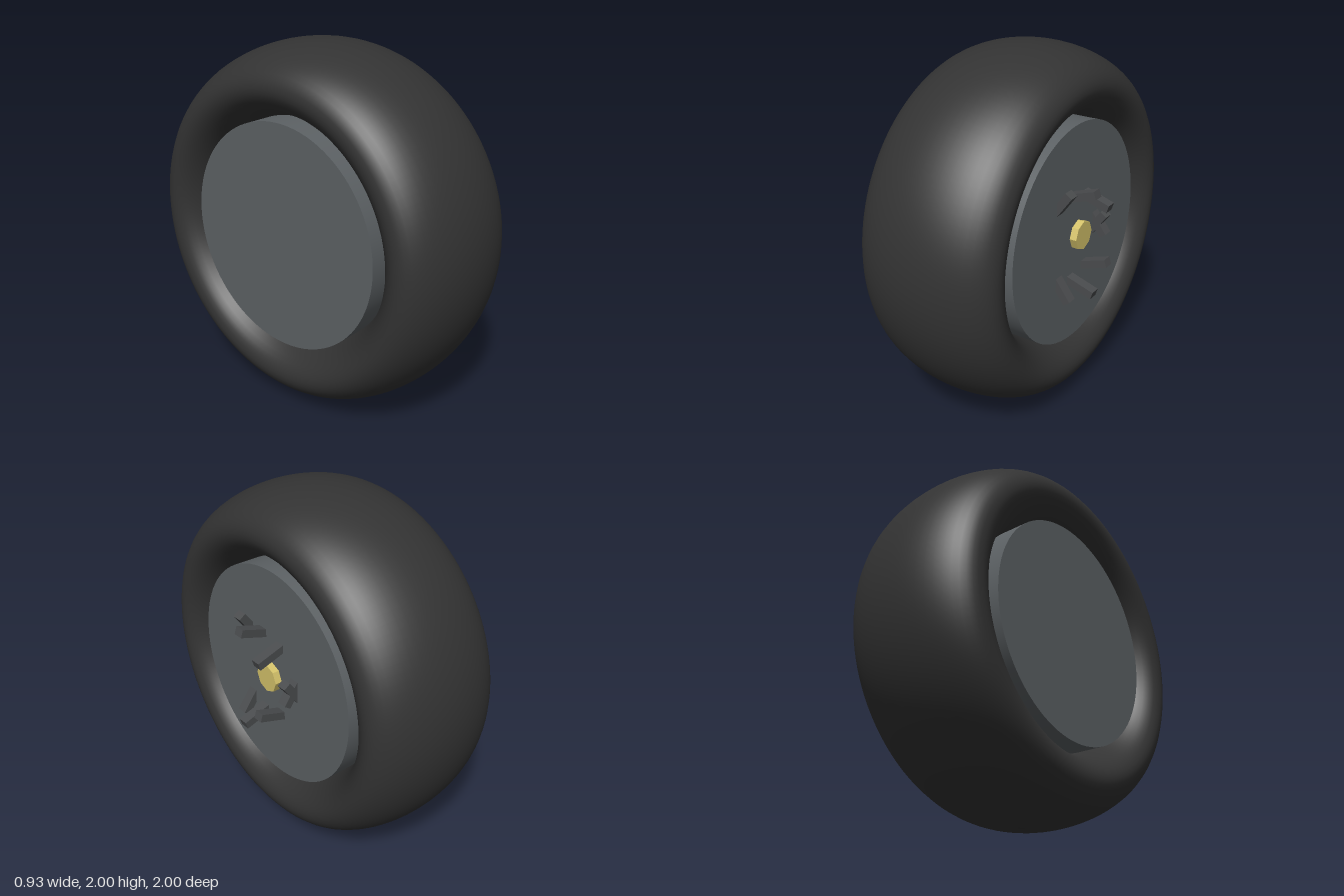
import * as THREE from 'three';

const CENTRE_X = -0.055;

function part(name, geometry, color) {
  const mesh = new THREE.Mesh(geometry, new THREE.MeshStandardMaterial({ color }));
  mesh.name = name;
  return mesh;
}

// Cylinder lying along the x axis
function disc(radius, depth, sides) {
  return new THREE.CylinderGeometry(radius, radius, depth, sides).rotateZ(-Math.PI / 2);
}

export function createModel() {
  const group = new THREE.Group();
  group.name = 'wheel';

  // Tyre: a torus around the x axis, widened along its axle
  const tyreGeometry = new THREE.TorusGeometry(0.8, 0.2, 48, 128)
    .rotateY(Math.PI / 2)
    .scale(0.415 / 0.2, 1, 1);
  const tyre = part('tyre', tyreGeometry, 0x333333);
  tyre.position.set(CENTRE_X, 1, 0);
  group.add(tyre);

  // Solid rim drum, flat on both sides
  const rim = part('rim', disc(0.625, 0.72, 96), 0x5c6164);
  rim.position.set(CENTRE_X, 1, 0);
  group.add(rim);

  // Octagonal hub cap on the outer face
  const hub = part('hubCap', disc(0.083, 0.08, 8), 0xd4c26a);
  hub.material.flatShading = true;
  hub.position.set(0.305, 1, 0);
  group.add(hub);

  // Slanted spokes emerging from the outer face, mirrored above and below the hub
  const length = 0.26, thickness = 0.045;
  const spokes = [ // outer end x, height from hub, z, tilt in degrees
    [0.372, 0.313, 0.19, 54],
    [0.458, 0.293, 0.073, 18],
    [0.458, 0.162, -0.073, -18],
    [0.372, 0.065, -0.19, 54],
  ];
  for (const [x, y, z, degrees] of spokes) {
    for (const side of [1, -1]) {
      const tilt = side * THREE.MathUtils.degToRad(degrees);
      const spoke = part('spoke', new THREE.BoxGeometry(length, thickness, 0.058), 0x4a4c4e);
      spoke.rotation.z = tilt;
      spoke.position.set(
        x - Math.cos(tilt) * length / 2,
        1 + side * y - Math.sin(tilt) * length / 2,
        z
      );
      group.add(spoke);
    }
  }
  return group;
}
